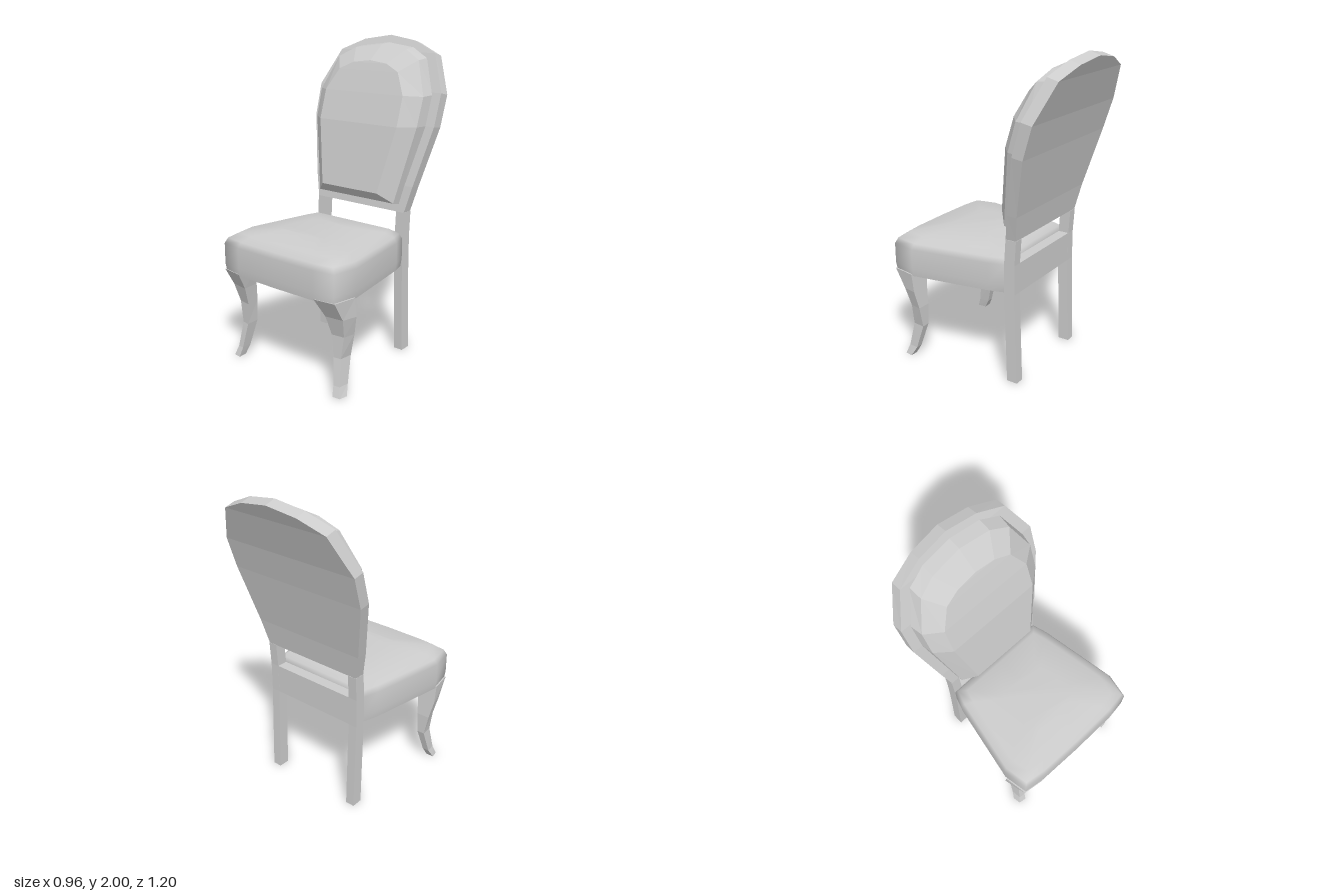
import * as THREE from 'three';
import { mergeVertices } from 'three/addons/utils/BufferGeometryUtils.js';

// Skin a stack of equal-length rings; each end is closed with strips across the ring
function loft(rings, smooth = false, caps = [true, true]) {
  const pos = [];
  const tri = (...p) => {
    const [a, b, c] = p.map(v => new THREE.Vector3(...v));
    if (b.sub(a).cross(c.sub(a)).length() > 1e-7) pos.push(...p.flat());
  };
  const quad = (a, b, c, d) => { tri(a, b, c); tri(a, c, d); };
  const n = rings[0].length;
  for (let r = 0; r < rings.length - 1; r++) {
    for (let i = 0; i < n; i++) {
      const j = (i + 1) % n;
      quad(rings[r][i], rings[r][j], rings[r + 1][j], rings[r + 1][i]);
    }
  }
  const first = rings[0], last = rings[rings.length - 1];
  for (let k = 0; k < n / 2 - 1; k++) {
    const m = n - 1 - k;
    if (caps[0]) quad(first[k], first[m], first[m - 1], first[k + 1]);
    if (caps[1]) quad(last[k], last[k + 1], last[m - 1], last[m]);
  }
  let geo = new THREE.BufferGeometry();
  geo.setAttribute('position', new THREE.Float32BufferAttribute(pos, 3));
  if (smooth) geo = mergeVertices(geo);
  geo.computeVertexNormals();
  return geo;
}

// Ring from rows [xLeft, xRight, y, z] listed top to bottom
const rowRing = rows => [
  ...rows.map(([l, , y, z]) => [l, y, z]),
  ...rows.map(([, r, y, z]) => [r, y, z]).reverse(),
];
// Ring symmetric about x = 0 from [halfWidth, y, z]
const symRing = rows => rowRing(rows.map(([x, y, z]) => [-x, x, y, z]));
const mirror = rings => rings.map(r => r.map(([x, y, z]) => [-x, y, z]).reverse());

export function createModel() {
  const chair = new THREE.Group();
  chair.name = 'chair';
  const flat = new THREE.MeshStandardMaterial({ color: 0xcccccc, flatShading: true });
  const soft = new THREE.MeshStandardMaterial({ color: 0xcccccc });
  const add = (name, geo, mat = flat) => {
    const mesh = new THREE.Mesh(geo, mat);
    mesh.name = name;
    chair.add(mesh);
  };

  // Balloon-shaped back panel, leaning backwards
  const panel = [
    [0, 2.0, -0.53], [0.2, 1.97, -0.515], [0.37, 1.9, -0.48], [0.48, 1.67, -0.39],
    [0.475, 1.47, -0.33], [0.39, 1.1, -0.24], [0.35, 0.935, -0.21],
  ];
  const panelBack = panel.map(([x, y, z]) => [x, y - 0.02 * (y - 0.935), z - 0.07]);
  add('backFrame', loft([symRing(panelBack), symRing(panel)]));

  // Padded back cushion: base outline, rim, face
  add('backCushion', loft([
    [[0, 1.955, -0.52], [0.2, 1.93, -0.505], [0.32, 1.87, -0.475],
      [0.42, 1.655, -0.395], [0.415, 1.47, -0.34], [0.305, 0.98, -0.225]],
    [[0, 1.945, -0.43], [0.2, 1.92, -0.415], [0.315, 1.86, -0.385],
      [0.405, 1.65, -0.31], [0.4, 1.47, -0.255], [0.3, 0.995, -0.165]],
    [[0, 1.85, -0.31], [0.13, 1.835, -0.303], [0.23, 1.79, -0.285],
      [0.305, 1.655, -0.235], [0.305, 1.47, -0.178], [0.22, 1.06, -0.097]],
  ].map(symRing)));

  // Rear posts running from the floor to the back panel
  const post = [[0.935, -0.21], [0.78, -0.2], [0.59, -0.2], [0, -0.22]];
  const postRings = [-0.072, 0].map(dz => rowRing(post.map(([y, z]) => [0.292, 0.352, y, z + dz])));
  add('rearLegLeft', loft(postRings));
  add('rearLegRight', loft(mirror(postRings)));

  // Rail joining the posts behind the seat
  const rail = new THREE.BoxGeometry(0.59, 0.19, 0.07);
  rail.translate(0, 0.685, -0.236);
  add('backRail', rail);

  // Curved front legs: [y, inner x, outer x, front z, back z]
  const legRings = [
    [0, 0.39, 0.45, 0.527, 0.468],
    [0.06, 0.38, 0.43, 0.505, 0.435],
    [0.22, 0.357, 0.414, 0.475, 0.388],
    [0.36, 0.345, 0.442, 0.477, 0.39],
    [0.48, 0.33, 0.468, 0.515, 0.405],
    [0.6, 0.305, 0.47, 0.588, 0.42],
  ].map(([y, xi, xo, zf, zb]) => {
    const skew = (xo - xi) * 0.16;
    return [[xi, y, zf], [xo - skew, y, zf - skew * 0.7], [xo, y, zb], [xi + skew * 0.5, y, zb]];
  });
  add('frontLegLeft', loft(legRings));
  add('frontLegRight', loft(mirror(legRings)));

  // Tapered seat outline scaled about its middle
  const half = [[0.3, 0.59], [0.44, 0.57], [0.47, 0.41], [0.38, -0.1], [0.35, -0.2]];
  const outline = [[0, 0.595], ...half, [0, -0.2], ...half.map(([x, z]) => [-x, z]).reverse()];
  const seatRing = ([y, s]) => outline.map(([x, z]) => [x * s, y, 0.195 + (z - 0.195) * s]);
  add('seatCushion', loft(
    [[0.59, 0.985], [0.64, 1], [0.77, 1], [0.805, 0.96], [0.838, 0.84], [0.866, 0.4]].map(seatRing),
    true, [false, true]), soft);
  // Underside with a recessed panel
  add('seatUnderside', loft(
    [[0.63, 0.8], [0.59, 0.8], [0.59, 0.985]].map(seatRing), false, [true, false]));

  return chair;
}
